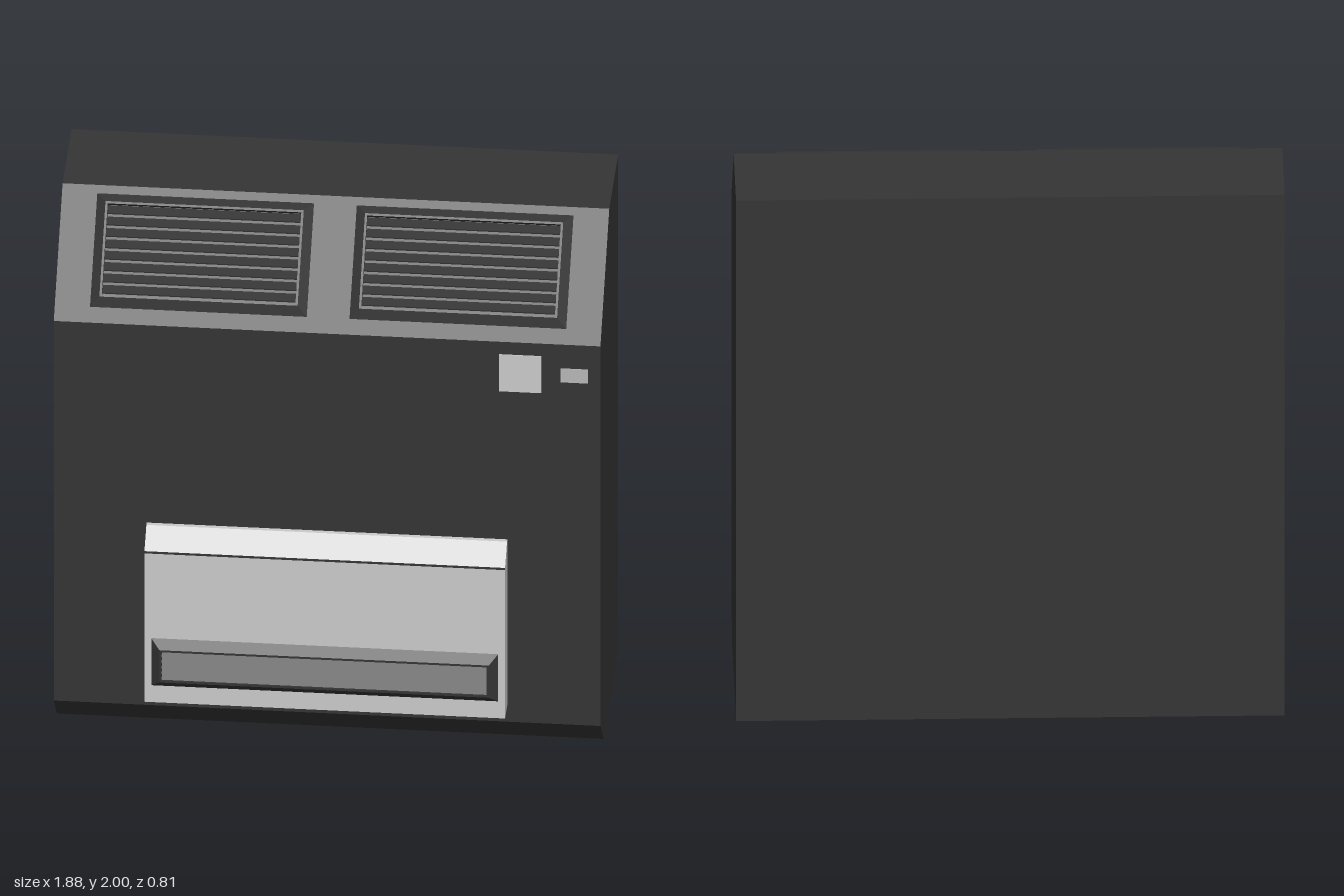
import * as THREE from 'three';

const dark = new THREE.MeshStandardMaterial({ color: 0x353535, flatShading: true });
const black = new THREE.MeshStandardMaterial({ color: 0x292929, flatShading: true });
const grey = new THREE.MeshStandardMaterial({ color: 0xcccccc, flatShading: true });
const midGrey = new THREE.MeshStandardMaterial({ color: 0xb8b8b8, flatShading: true });

function add(parent, name, geometry, material, x = 0, y = 0, z = 0) {
  const mesh = new THREE.Mesh(geometry, material);
  mesh.name = name;
  mesh.position.set(x, y, z);
  parent.add(mesh);
  return mesh;
}

// Side profile of [z, y] points swept across the width
function sweepProfile(points, width) {
  const shape = new THREE.Shape(points.map(([z, y]) => new THREE.Vector2(z, y)));
  const geo = new THREE.ExtrudeGeometry(shape, { depth: width, bevelEnabled: false });
  return geo.rotateY(-Math.PI / 2).translate(width / 2, 0, 0);
}

// Bevelled rectangular ring lofted through nested rectangles [halfWidth, halfHeight, z]
function frameGeometry(rings) {
  const pos = [], index = [];
  for (const [a, b, z] of rings) pos.push(-a, -b, z, a, -b, z, a, b, z, -a, b, z);
  for (let r = 0; r < rings.length - 1; r++) {
    for (let i = 0; i < 4; i++) {
      const j = (i + 1) % 4, p = r * 4 + i, q = r * 4 + j;
      index.push(p, q, q + 4, p, q + 4, p + 4);
    }
  }
  const geo = new THREE.BufferGeometry();
  geo.setAttribute('position', new THREE.Float32BufferAttribute(pos, 3));
  geo.setIndex(index);
  const flat = geo.toNonIndexed();
  flat.computeVertexNormals();
  return flat;
}

// Louvred grille facing local +z: w and h are the size of its raised face
function grille(name, w, h, depth, margin, count) {
  const g = new THREE.Group();
  g.name = name;
  const a = w / 2, b = h / 2, rim = 0.008;
  add(g, 'grilleFrame', frameGeometry([
    [a + margin, b + margin, 0], [a, b, depth], [a - rim, b - rim, depth], [a - rim, b - rim, 0],
  ]), dark);
  add(g, 'grilleBacking', new THREE.BoxGeometry(w - rim, h - rim, 0.004), black, 0, 0, 0.002);
  const pitch = (h - 2 * rim) / count;
  for (let i = 0; i < count; i++) {
    const y = -b + rim + pitch * (i + 0.5);
    const blade = add(g, 'louvre', new THREE.BoxGeometry(w - 2 * rim, pitch * 0.95, 0.005), dark, 0, y, depth * 0.72);
    blade.rotation.x = -0.55;
  }
  return g;
}

export function createModel() {
  const model = new THREE.Group();
  model.name = 'heater';

  // Cabinet with sloped top front and chamfered foot
  add(model, 'cabinet', sweepProfile([
    [-0.41, 0], [0.16, 0], [0.285, 0.13], [0.285, 1.66], [-0.06, 2], [-0.41, 2],
  ], 1.875), dark);

  // Upper pair of outlet grilles on the slope
  for (const side of [-1, 1]) {
    const g = grille(side > 0 ? 'leftTopGrille' : 'rightTopGrille', 0.68, 0.336, 0.025, 0.032, 8);
    g.position.set(side * 0.445, 1.839, 0.103);
    g.rotation.x = -Math.atan2(0.345, 0.34);
    model.add(g);
  }

  // Raised front panel with a sloped upper edge and a seam
  add(model, 'frontPanel', sweepProfile([
    [0.28, 0.2], [0.377, 0.2], [0.377, 0.807], [0.3, 0.865], [0.28, 0.865],
  ], 1.237), grey);
  add(model, 'panelSeam', new THREE.BoxGeometry(1.237, 0.008, 0.004), dark, 0, 0.803, 0.3765);

  // Lower grille on the panel
  const lower = grille('lowerGrille', 1.13, 0.13, 0.028, 0.03, 5);
  lower.position.set(0, 0.363, 0.377);
  model.add(lower);

  // Control plate and small indicator
  add(model, 'controlPlate', new THREE.BoxGeometry(0.145, 0.148, 0.006), grey, 0.662, 1.536, 0.285);
  add(model, 'indicator', new THREE.BoxGeometry(0.094, 0.055, 0.006), midGrey, 0.848, 1.537, 0.285);

  return model;
}
